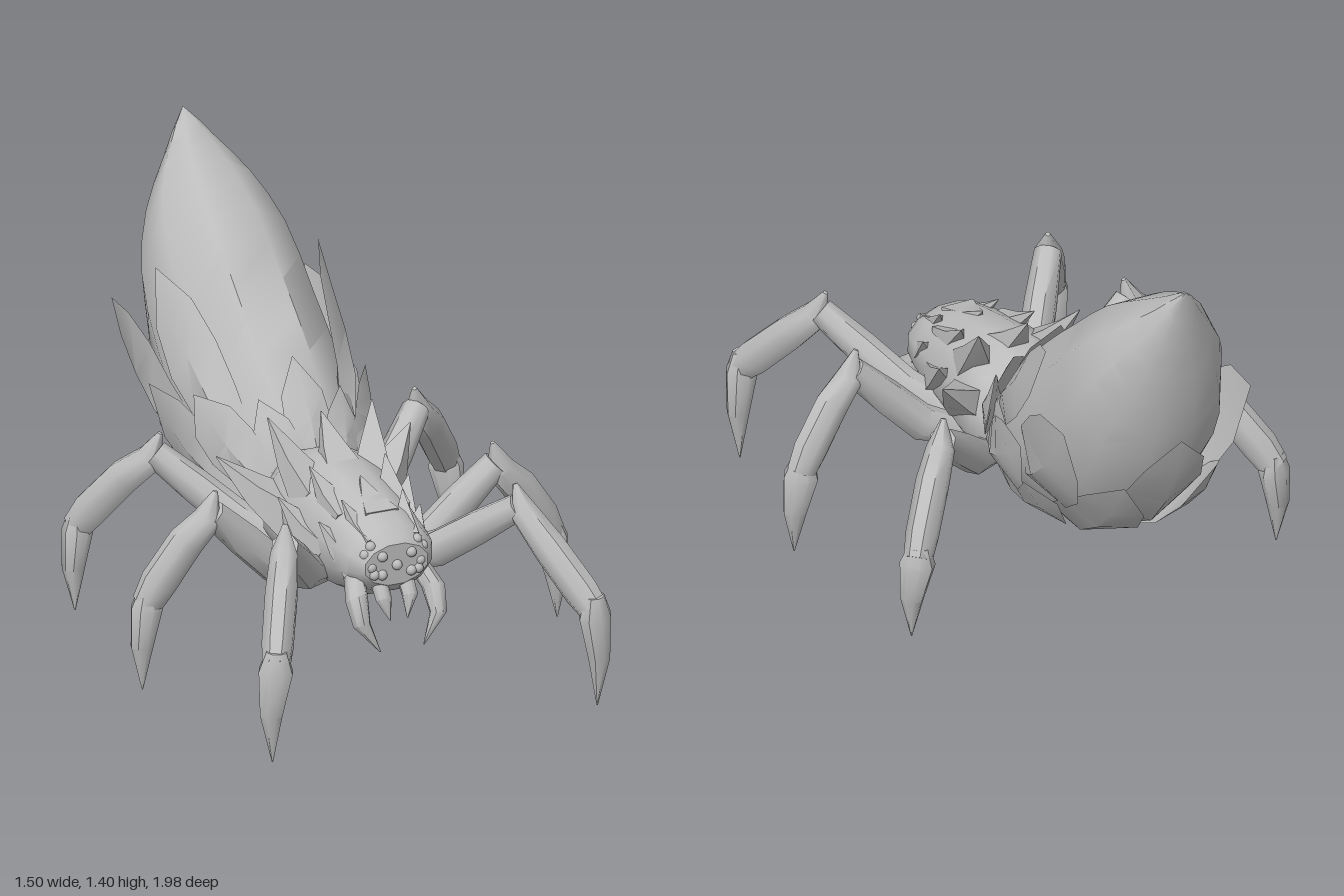
import * as THREE from 'three';
import { toCreasedNormals } from 'three/addons/utils/BufferGeometryUtils.js';

const V = (x, y, z) => new THREE.Vector3(x, y, z);

// Skin between equal rings of points, capped at both ends
function loft(rings, crease) {
  const n = rings[0].length, pos = [], idx = [];
  rings.forEach(r => r.forEach(p => pos.push(p.x, p.y, p.z)));
  for (let i = 0; i < rings.length - 1; i++) {
    for (let j = 0; j < n; j++) {
      const a = i * n + j, b = i * n + (j + 1) % n;
      idx.push(a, b, b + n, a, b + n, a + n);
    }
  }
  const last = (rings.length - 1) * n;
  for (let j = 1; j < n - 1; j++) idx.push(0, j + 1, j, last, last + j, last + j + 1);
  const g = new THREE.BufferGeometry();
  g.setAttribute('position', new THREE.Float32BufferAttribute(pos, 3));
  g.setIndex(idx);
  return toCreasedNormals(g, crease);
}

// Body surface from sections [topY, topZ, bottomY, bottomZ, halfWidth];
// angle 0 is the top, a quarter turn is the left side
function bodySurface(sections) {
  const top = new THREE.CatmullRomCurve3(sections.map(s => V(s[4], s[0], s[1])));
  const bottom = new THREE.CatmullRomCurve3(sections.map(s => V(0, s[2], s[3])));
  const n = sections.length - 1;
  return (u, angle, out = 0) => {
    const t = top.getPoint(u / n), b = bottom.getPoint(u / n), w = Math.max(t.x, 0);
    t.x = 0;
    const h = t.clone().sub(b).multiplyScalar(0.5), c = t.add(b).multiplyScalar(0.5);
    const len = h.length() || 1;
    c.addScaledVector(h, Math.cos(angle) * (1 + out / len));
    c.x = (w + out) * Math.sin(angle);
    return c;
  };
}

// A half-step turn puts a flat facet along the back
function bodyGeometry(surface, end, steps, sides, crease) {
  const rings = [];
  for (let i = 0; i <= steps; i++) {
    const out = i < steps ? 0.006 : 0;
    rings.push(Array.from({ length: sides }, (_, j) => surface(end * i / steps, (j + 0.5) / sides * Math.PI * 2, out)));
  }
  return loft(rings, crease);
}

// Ridged, pointed armour scale lying on a body surface
function scale(surface, u0, u1, angle, half, lift) {
  const width = [0.7, 1, 1, 0.75, 0];
  const rings = width.map((w, i) => {
    const t = i / 4, u = u0 + (u1 - u0) * t, out = -0.01 + lift * Math.pow(t, 0.6);
    const edge = out - 0.015 * (1 - t);
    return [surface(u, angle - half * w, edge), surface(u, angle, out + 0.015 * (1 - t)),
      surface(u, angle + half * w, edge), surface(u, angle, out - 0.05 * (1 - t))];
  });
  return loft(rings, 0.6);
}

// Tapering limb through points [x, y, z, sideRadius, depthRadius]
function limb(points, sides = 8, crease = 0.8) {
  const p = points.map(q => V(q[0], q[1], q[2]));
  const out = p[p.length - 1].clone().sub(p[0]).setY(0);
  const side = V(0, 1, 0).cross(out).normalize();
  const rings = p.map((c, i) => {
    const t = p[Math.min(i + 1, p.length - 1)].clone().sub(p[Math.max(i - 1, 0)]).normalize();
    const up = t.cross(side).normalize();
    return Array.from({ length: sides }, (_, j) => {
      const a = (j + 0.5) / sides * Math.PI * 2;
      return c.clone().addScaledVector(side, Math.cos(a) * points[i][3]).addScaledVector(up, Math.sin(a) * points[i][4]);
    });
  });
  return loft(rings, crease);
}

// Broad thorn that grows out of the shell and sweeps to a point
function spike(b, t, r) {
  const mid = b.map((v, i) => v + (t[i] - v) * 0.5 - (i === 1 ? 0.012 : 0));
  return limb([[...b, r, r * 0.8], [...mid, r * 0.6, r * 0.45], [...t, 0.002, 0.002]], 4, 0.9);
}

export function createModel() {
  const model = new THREE.Group();
  const grey = new THREE.MeshStandardMaterial({ color: 0xbcbcbc, side: THREE.DoubleSide });
  grey.name = 'stone grey';
  const add = (name, geometry) => {
    const m = new THREE.Mesh(geometry, grey);
    m.name = name;
    model.add(m);
    return m;
  };

  // Raised abdomen ending in a crystal point
  const abdomen = bodySurface([
    [0.44, 0.10, 0.36, 0.10, 0.04], [0.56, 0.06, 0.28, 0.02, 0.16], [0.70, -0.04, 0.295, -0.30, 0.235],
    [0.86, -0.20, 0.36, -0.55, 0.268], [1.03, -0.40, 0.52, -0.76, 0.265], [1.19, -0.60, 0.74, -0.88, 0.247],
    [1.29, -0.78, 0.96, -0.935, 0.18], [1.35, -0.90, 1.18, -0.965, 0.085], [1.4, -0.987, 1.4, -0.987, 0]]);
  add('abdomen', bodyGeometry(abdomen, 8, 16, 10, 0.7));

  // Armour scales: start, end, angle, half angle, lift
  const sideScales = [
    [2.2, 4.62, 1.0, 0.32, 0.085], [2.9, 5.0, 1.85, 0.45, 0.11], [2.5, 4.85, 2.62, 0.42, 0.085],
    [1.2, 2.9, 1.05, 0.35, 0.085], [1.5, 3.6, 1.6, 0.4, 0.075], [1.2, 3.5, 2.2, 0.42, 0.055],
    [0.7, 2.4, 0.5, 0.32, 0.05], [0.8, 2.6, 2.8, 0.35, 0.02]];
  for (const [u0, u1, a, h, l] of sideScales) {
    for (const s of [1, -1]) add('abdomenScale', scale(abdomen, u0, u1, s * a, h, l));
  }
  add('backScale', scale(abdomen, 0.8, 2.85, 0, 0.34, 0.05));
  add('tailScale', scale(abdomen, 3.2, 5.75, Math.PI, 0.5, 0.075));

  // Head and thorax
  const thorax = bodySurface([
    [0.53, 0.65, 0.40, 0.645, 0.105], [0.58, 0.59, 0.36, 0.60, 0.145], [0.625, 0.45, 0.30, 0.45, 0.168],
    [0.66, 0.25, 0.275, 0.25, 0.19], [0.65, 0.08, 0.265, 0.08, 0.205], [0.58, -0.05, 0.29, -0.05, 0.14]]);
  add('thorax', bodyGeometry(thorax, 5, 10, 12, 0.7));
  add('crestSpike', spike([0, 0.60, 0.24], [0, 0.765, 0.07], 0.09));
  add('browSpike', spike([0, 0.565, 0.52], [0, 0.66, 0.37], 0.08));

  // Each leg: hip, mid thigh, knee, ankle, claw tip, outward bow of the shin
  const legs = [
    ['frontLeg', [0.05, 0.31, 0.25], [0.23, 0.41, 0.46], [0.405, 0.61, 0.69], [0.55, 0.325, 0.945], [0.56, 0, 0.94], 0],
    ['middleLeg', [0.05, 0.30, 0.22], [0.26, 0.37, 0.29], [0.49, 0.60, 0.32], [0.695, 0.31, 0.28], [0.715, 0.025, 0.29], 0.025],
    ['hindLeg', [0.05, 0.30, 0.14], [0.24, 0.40, -0.03], [0.45, 0.595, -0.20], [0.635, 0.31, -0.385], [0.65, 0.03, -0.37], 0.02]];

  for (const s of [1, -1]) {
    const M = p => [s * p[0], p[1], p[2]];

    for (const [name, hip, thigh, knee, ankle, tip, bow] of legs) {
      const mix = (a, b, t, lift = 0) => M(a.map((v, i) => v + (b[i] - v) * t + (i === 1 ? lift : 0)));
      add(name + 'Thigh', limb([[...M(hip), 0.04, 0.035], [...M(thigh), 0.056, 0.06],
        [...mix(thigh, knee, 0.5), 0.054, 0.056], [...M(knee), 0.045, 0.045]]));
      add(name + 'Shin', limb([[...mix(knee, ankle, -0.06, 0.055), 0.008, 0.008], [...mix(knee, ankle, 0.06), 0.046, 0.048],
        [...mix(knee, ankle, 0.4, bow), 0.054, 0.058], [...mix(knee, ankle, 0.82, bow * 0.7), 0.053, 0.06],
        [...M(ankle), 0.046, 0.05]]));
      const bend = mix(ankle, tip, 0.5);
      bend[0] += s * 0.01;
      add(name + 'Claw', limb([[...mix(ankle, tip, -0.16), 0.03, 0.035], [...mix(ankle, tip, 0.05), 0.05, 0.058],
        [...bend, 0.036, 0.038], [...M(tip), 0.002, 0.002]]));
    }

    // Thorax spines: base, tip, radius
    const spines = [
      [[0.10, 0.56, 0.24], [0.18, 0.77, 0.06], 0.09], [[0.13, 0.47, 0.17], [0.335, 0.645, 0.01], 0.11],
      [[0.08, 0.55, 0.44], [0.13, 0.675, 0.27], 0.075], [[0.12, 0.44, 0.40], [0.225, 0.575, 0.24], 0.09],
      [[0.055, 0.52, 0.59], [0.105, 0.63, 0.46], 0.06], [[0.09, 0.45, 0.56], [0.175, 0.56, 0.44], 0.075]];
    for (const [b, t, r] of spines) add('thoraxSpine', spike(M(b), M(t), r));

    // Curved outer fang and small inner fang
    add('outerFang', limb([[...M([0.11, 0.42, 0.56]), 0.035, 0.035], [...M([0.132, 0.365, 0.635]), 0.038, 0.038],
      [...M([0.132, 0.29, 0.675]), 0.028, 0.03], [...M([0.075, 0.195, 0.69]), 0.002, 0.002]]));
    add('innerFang', limb([[...M([0.045, 0.41, 0.60]), 0.028, 0.028], [...M([0.045, 0.355, 0.65]), 0.026, 0.026],
      [...M([0.03, 0.285, 0.665]), 0.002, 0.002]]));

    // Eye cluster
    for (const [x, y, z] of [[0.05, 0.437, 0.648], [0.084, 0.465, 0.64], [0.076, 0.44, 0.645],
      [0.1, 0.505, 0.625], [0.08, 0.53, 0.625], [0.05, 0.50, 0.65]]) {
      add('eye', new THREE.SphereGeometry(0.017, 10, 8)).position.set(s * x, y, z);
    }
  }
  add('middleEye', new THREE.SphereGeometry(0.017, 10, 8)).position.set(0, 0.465, 0.652);

  return model;
}
